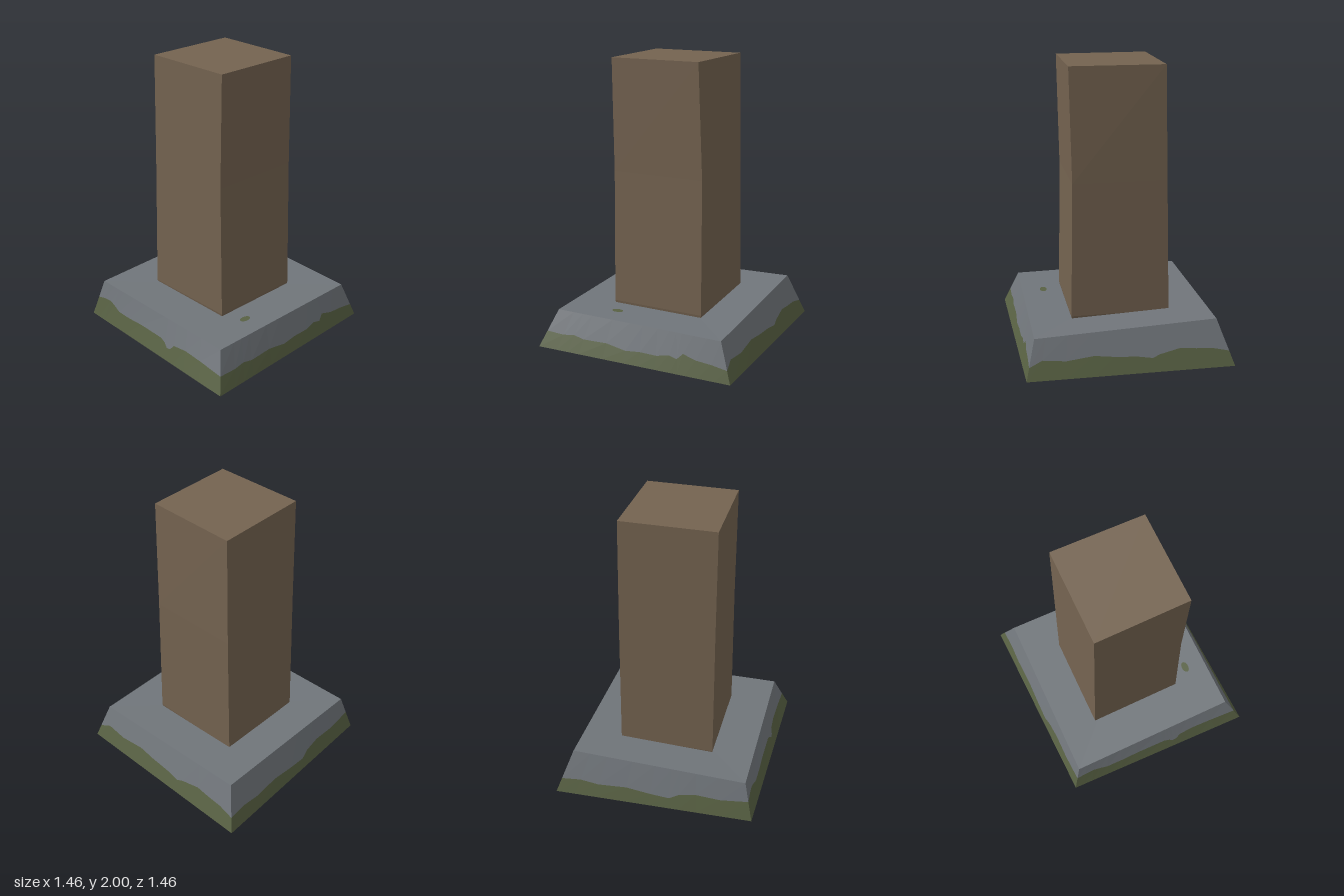
import * as THREE from 'three';

const stone = new THREE.MeshStandardMaterial({ name: 'stone', color: 0x70757a });
const moss = new THREE.MeshStandardMaterial({ name: 'moss', color: 0x586143 });
const wood = new THREE.MeshStandardMaterial({ name: 'wood', color: 0x746350 });

const V = (x, y, z) => new THREE.Vector3(x, y, z);

// Flat-shaded mesh from a list of triangle corners
function facetMesh(name, points, material) {
  const geometry = new THREE.BufferGeometry().setFromPoints(points);
  geometry.computeVertexNormals();
  const mesh = new THREE.Mesh(geometry, material);
  mesh.name = name;
  return mesh;
}

// Two triangles for a quad, corners counter-clockwise from outside
const quad = (a, b, c, d) => [a, b, c, a, c, d];

// Corners run front-left, front-right, back-right, back-left as seen from the front
const footBottom = [V(-0.69, 0, 0.685), V(0.725, 0, 0.725), V(0.685, 0, -0.715), V(-0.73, 0, -0.73)];
const footTop = [V(-0.62, 0.275, 0.62), V(0.62, 0.26, 0.62), V(0.62, 0.26, -0.62), V(-0.62, 0.31, -0.62)];

// Moss line on each side: [position along the side, height]
const mossLines = [
  [[0, 0.14], [0.05, 0.155], [0.1, 0.16], [0.14, 0.145], [0.19, 0.12], [0.28, 0.118], [0.38, 0.125], [0.55, 0.122],
    [0.58, 0.105], [0.6, 0.08], [0.625, 0.085], [0.65, 0.12], [0.74, 0.132], [0.85, 0.125], [1, 0.11]],
  [[0, 0.11], [0.1, 0.105], [0.16, 0.115], [0.22, 0.1], [0.35, 0.105], [0.46, 0.082], [0.54, 0.092], [0.63, 0.09],
    [0.7, 0.108], [0.74, 0.095], [0.775, 0.135], [0.84, 0.11], [0.92, 0.102], [1, 0.085]],
  [[0, 0.085], [0.06, 0.125], [0.18, 0.11], [0.32, 0.13], [0.42, 0.115], [0.54, 0.105], [0.61, 0.09], [0.65, 0.11],
    [0.76, 0.14], [0.84, 0.13], [0.92, 0.125], [1, 0.1]],
  [[0, 0.1], [0.1, 0.11], [0.2, 0.095], [0.35, 0.105], [0.48, 0.085], [0.58, 0.075], [0.63, 0.11], [0.72, 0.13],
    [0.85, 0.12], [1, 0.14]],
];

function createFoot() {
  const foot = new THREE.Group();
  foot.name = 'foot';
  const stoneFaces = [...quad(footTop[1], footTop[2], footTop[3], footTop[0])];
  // Top is split along the front-left to back-right diagonal
  stoneFaces.splice(0, 6, footTop[0], footTop[1], footTop[2], footTop[0], footTop[2], footTop[3]);
  const mossFaces = [];
  mossLines.forEach((line, side) => {
    const next = (side + 1) % 4;
    const columns = line.map(([u, y]) => {
      const low = footBottom[side].clone().lerp(footBottom[next], u);
      const high = footTop[side].clone().lerp(footTop[next], u);
      return { low, high, edge: low.clone().lerp(high, y / high.y) };
    });
    for (let i = 0; i + 1 < columns.length; i++) {
      const a = columns[i], b = columns[i + 1];
      mossFaces.push(...quad(a.low, b.low, b.edge, a.edge));
      stoneFaces.push(...quad(a.edge, b.edge, b.high, a.high));
    }
  });
  // Underside
  stoneFaces.push(...quad(footBottom[3], footBottom[2], footBottom[1], footBottom[0]));
  foot.add(facetMesh('footStone', stoneFaces, stone), facetMesh('footMoss', mossFaces, moss));

  // Small moss patch lying on the top
  const patch = new THREE.Mesh(new THREE.CircleGeometry(1, 16).rotateX(-Math.PI / 2), moss);
  patch.name = 'mossPatch';
  patch.scale.set(0.026, 1, 0.042);
  patch.position.set(0.465, 0.2635, 0.235);
  foot.add(patch);
  return foot;
}

// Slightly crooked square post, lofted through four-cornered rings
function createPost() {
  const ring = (y, corners) => corners.map(([x, z]) => V(x, y, z));
  const rings = [
    ring(0.23, [[-0.345, 0.32], [0.325, 0.32], [0.325, -0.335], [-0.345, -0.335]]),
    ring(0.28, [[-0.354, 0.33], [0.333, 0.33], [0.333, -0.343], [-0.354, -0.345]]),
    ring(1.22, [[-0.332, 0.326], [0.316, 0.327], [0.316, -0.337], [-0.332, -0.339]]),
    ring(2, [[-0.315, 0.327], [0.33, 0.327], [0.33, -0.312], [-0.315, -0.329]]),
  ];
  const faces = [];
  for (let r = 0; r + 1 < rings.length; r++) {
    for (let i = 0; i < 4; i++) {
      const j = (i + 1) % 4;
      faces.push(...quad(rings[r][i], rings[r][j], rings[r + 1][j], rings[r + 1][i]));
    }
  }
  faces.push(...quad(...rings[3]), ...quad(...[...rings[0]].reverse()));
  return facetMesh('post', faces, wood);
}

export function createModel() {
  const model = new THREE.Group();
  model.name = 'postOnStoneFoot';
  model.add(createFoot(), createPost());
  return model;
}
